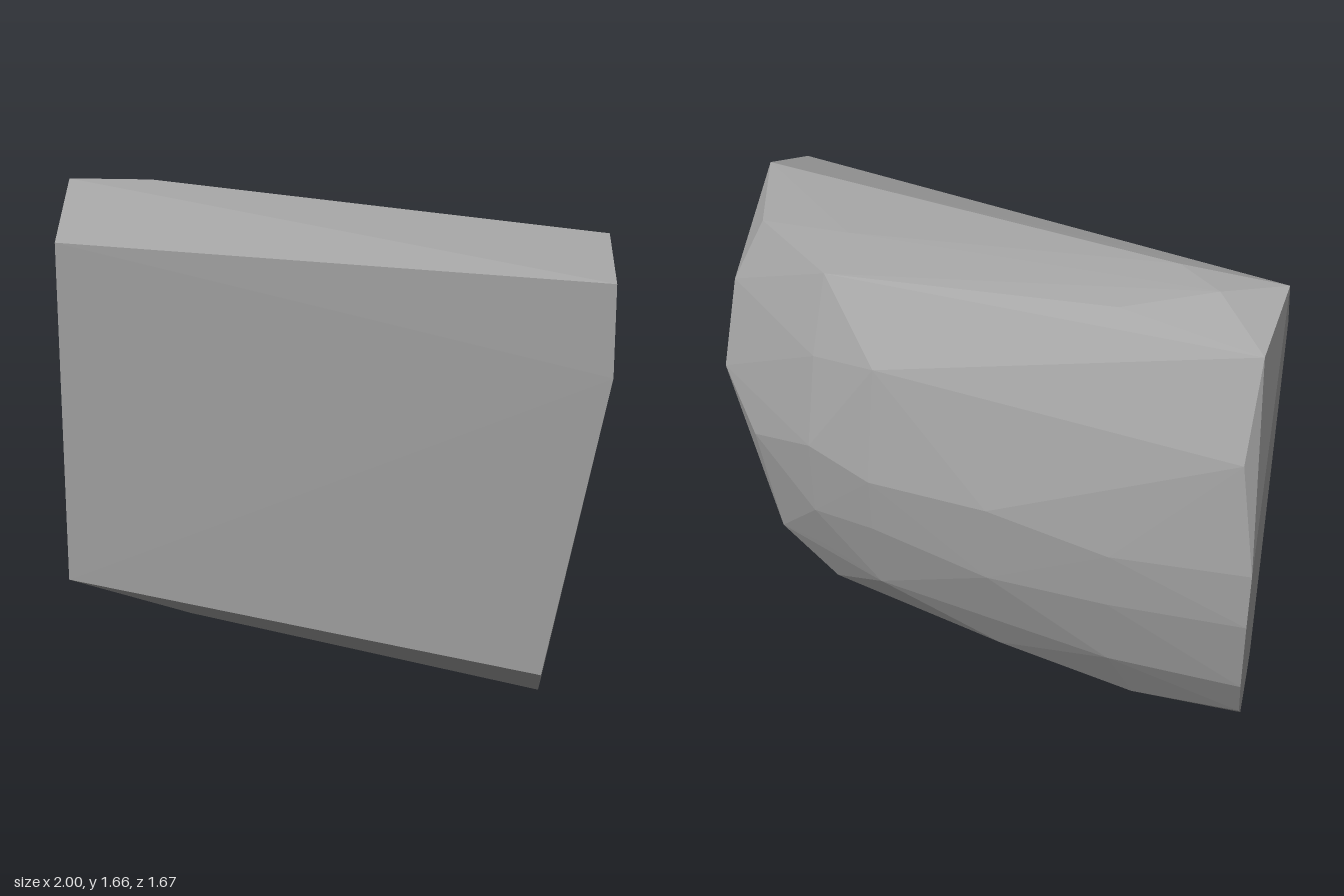
import * as THREE from 'three';
import { ConvexGeometry } from 'three/addons/geometries/ConvexGeometry.js';

export function createModel() {
  const group = new THREE.Group();
  group.name = 'rockFragment';
  const stone = new THREE.MeshStandardMaterial({ color: 0xa0a0a0 });
  stone.name = 'grey stone';

  const points = [];
  const add = (...list) => list.forEach((p) => points.push(new THREE.Vector3(...p)));

  // flat cleaved front with its top and bottom bevels
  add([-1, 1.43, -0.17], [1, 1.41, 0.835], [1, 1.13, 0.835], [0.82, 0.14, 0.7], [-1, 0.1, -0.21],
    [-1, 1.66, -0.39], [-0.66, 1.66, -0.32], [1, 1.53, 0.455], [-0.8, 1.645, -0.45]);

  // base
  add([0.82, 0, 0.47], [0.805, 0, 0.25], [-0.5, 0, -0.16], [-0.5, 0, -0.28], [-1, 0.07, -0.29]);

  // left end, slightly broken below its middle
  add([1, 0.88, 0.32], [0.99, 0.97, -0.13], [0.98, 1.26, 0], [0.9, 1.45, 0.11],
    [0.83, 0.79, -0.28], [0.77, 0.37, -0.24], [0.813, 0.09, 0.06]);

  // right end, cut flat along x = -1
  add([-0.96, 1.55, -0.65], [-0.94, 1.25, -0.775], [-1, 0.9, -0.835], [-1, 0.7, -0.83],
    [-1, 0.41, -0.77], [-1, 0.21, -0.66], [-1, 0.07, -0.51]);

  // upper and lower shoulders of the rounded back
  add([0.53, 1.5, -0.02], [-0.03, 1.51, -0.26], [-0.5, 1.56, -0.46],
    [0.44, 0.06, -0.14], [-0.15, 0.1, -0.4], [-0.62, 0.11, -0.54]);

  // rounded back: [x, rearmost z] stations, each with [y, inset] steps
  const stations = [[0.56, -0.44], [0.31, -0.55], [-0.13, -0.67], [-0.55, -0.762]];
  const steps = [[1.4, 0.25], [1.2, 0.1], [0.86, 0], [0.62, 0.015], [0.38, 0.085], [0.2, 0.19]];
  stations.forEach(([x, z], i) => steps.forEach(([y, inset], j) => {
    const shift = (j % 2 ? 1 : -1) * (i % 2 ? 0.02 : -0.02);
    add([x, y + shift, z + inset]);
  }));

  const rock = new THREE.Mesh(new ConvexGeometry(points), stone);
  rock.name = 'rock';
  group.add(rock);
  return group;
}
